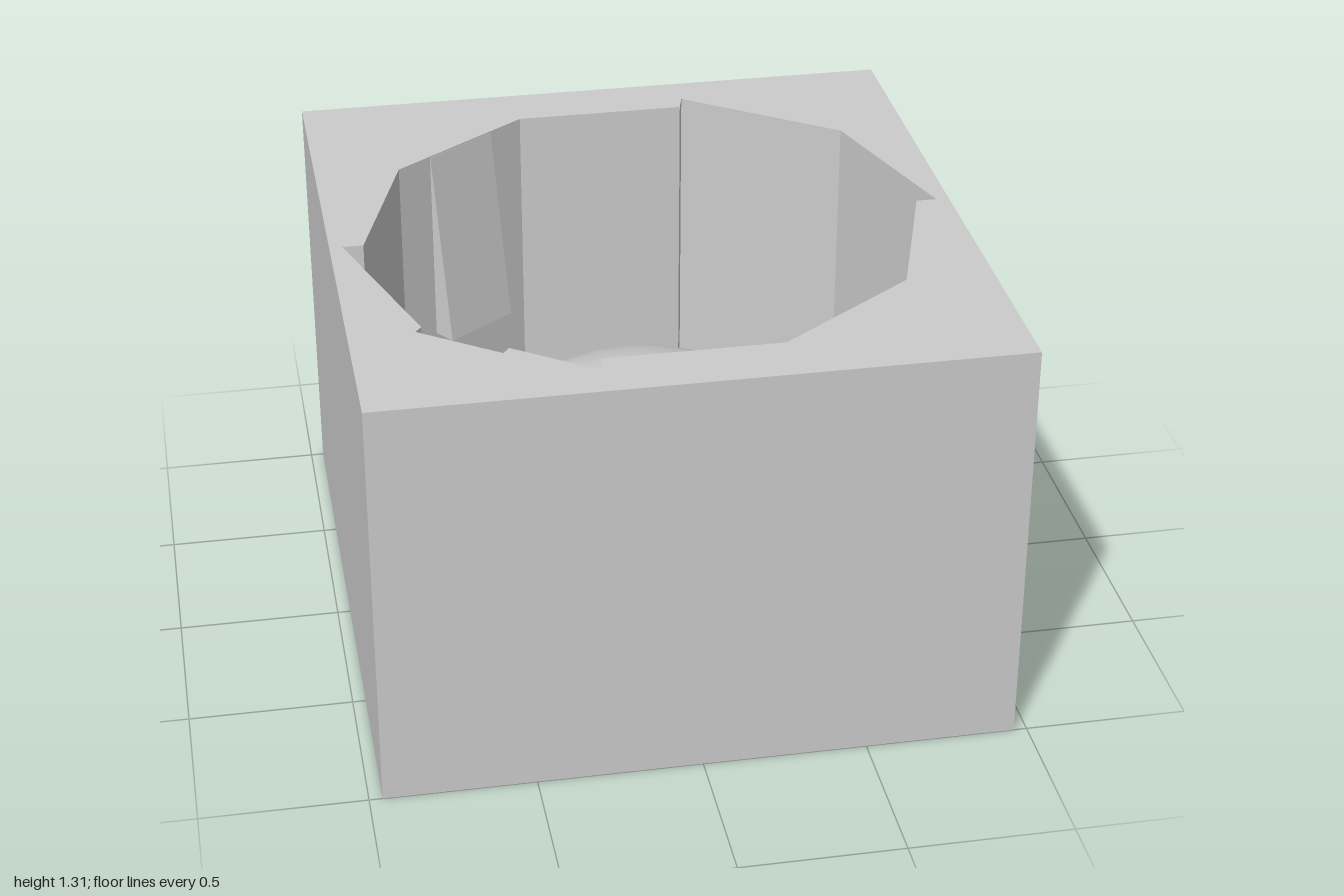
import * as THREE from 'three';

const HEIGHT = 1.31, FLOOR = 0.08, HALF_X = 0.96, HALF_Z = 1;
const DOME_R = 0.707, WALL = 0.815;

export function createModel() {
  const root = new THREE.Group();
  const mat = (opts = {}) => new THREE.MeshStandardMaterial({ color: 0xcccccc, ...opts });
  const flat = mat({ flatShading: true });
  const add = (name, geometry, material = flat) => {
    const mesh = new THREE.Mesh(geometry, material);
    mesh.name = name;
    root.add(mesh);
    return mesh;
  };

  // Base slab under the cavity
  add('baseSlab', new THREE.BoxGeometry(HALF_X * 2, FLOOR, HALF_Z * 2)).position.y = FLOOR / 2;

  // Block walls around a stepped ten-sided cavity (points are x, z)
  const half = [[0.92, 0], [0.857, 0], [0.695, 0.505], [0.265, 0.815], [-0.267, 0.815], [-0.284, 0.877]];
  const rim = [
    ...half,
    // shallow notch in one wall only
    [-0.515, 0.708], [-0.535, 0.735], [-0.765, 0.567], [-0.745, 0.542],
    ...half.map(([x, z]) => [-x, -z]), [0.745, -0.542],
  ];
  const outline = new THREE.Shape([
    [-HALF_X, -HALF_Z], [HALF_X, -HALF_Z], [HALF_X, HALF_Z], [-HALF_X, HALF_Z],
  ].map(([x, y]) => new THREE.Vector2(x, y)));
  outline.holes.push(new THREE.Path(rim.map(([x, z]) => new THREE.Vector2(x, -z))));
  const walls = new THREE.ExtrudeGeometry(outline, { depth: HEIGHT - FLOOR, bevelEnabled: false });
  walls.rotateX(-Math.PI / 2).translate(0, FLOOR, 0);
  add('blockWalls', walls);

  // Two wedge ribs on opposite cavity walls, widening downwards
  const wedge = new THREE.Shape([
    new THREE.Vector2(-WALL - 0.01, 0.67), new THREE.Vector2(-WALL + 0.075, 0.67),
    new THREE.Vector2(-WALL, HEIGHT - 0.005), new THREE.Vector2(-WALL - 0.01, HEIGHT - 0.005),
  ]);
  const rib = new THREE.ExtrudeGeometry(wedge, { depth: 0.265, bevelEnabled: false });
  rib.translate(0, 0, -0.1325);
  for (const turn of [0, Math.PI]) {
    add('wedgeRib', rib).rotation.y = turn - 0.3 * Math.PI;
  }

  // Dome on the cavity floor; its top ring is squared off around the socket
  const start = 0.09, socket = 0.047;
  const dome = new THREE.SphereGeometry(DOME_R, 20, 10, 0, Math.PI * 2, start, Math.PI / 2 - start);
  const p = dome.attributes.position;
  for (let i = 0; i <= 20; i++) {
    const k = socket / Math.max(Math.abs(p.getX(i)), Math.abs(p.getZ(i)));
    p.setXYZ(i, p.getX(i) * k, p.getY(i), p.getZ(i) * k);
  }
  add('dome', dome, mat()).position.y = FLOOR;

  // Square tapered socket sunk into the dome top
  const top = FLOOR + DOME_R * Math.cos(start);
  const depth = 0.08, inner = 0.022;
  const funnel = new THREE.CylinderGeometry(socket * Math.SQRT2, inner * Math.SQRT2, depth, 4, 1, true);
  funnel.rotateY(Math.PI / 4);
  add('socketSides', funnel, mat({ flatShading: true, side: THREE.BackSide })).position.y = top - depth / 2;
  const bottom = new THREE.PlaneGeometry(inner * 2, inner * 2).rotateX(-Math.PI / 2);
  add('socketFloor', bottom).position.y = top - depth;

  // Flat tabs either side of the socket
  for (const side of [-1, 1]) {
    add('socketTab', new THREE.BoxGeometry(0.085, 0.04, 0.09)).position.set(side * 0.095, top - 0.015, 0);
  }

  return root;
}
